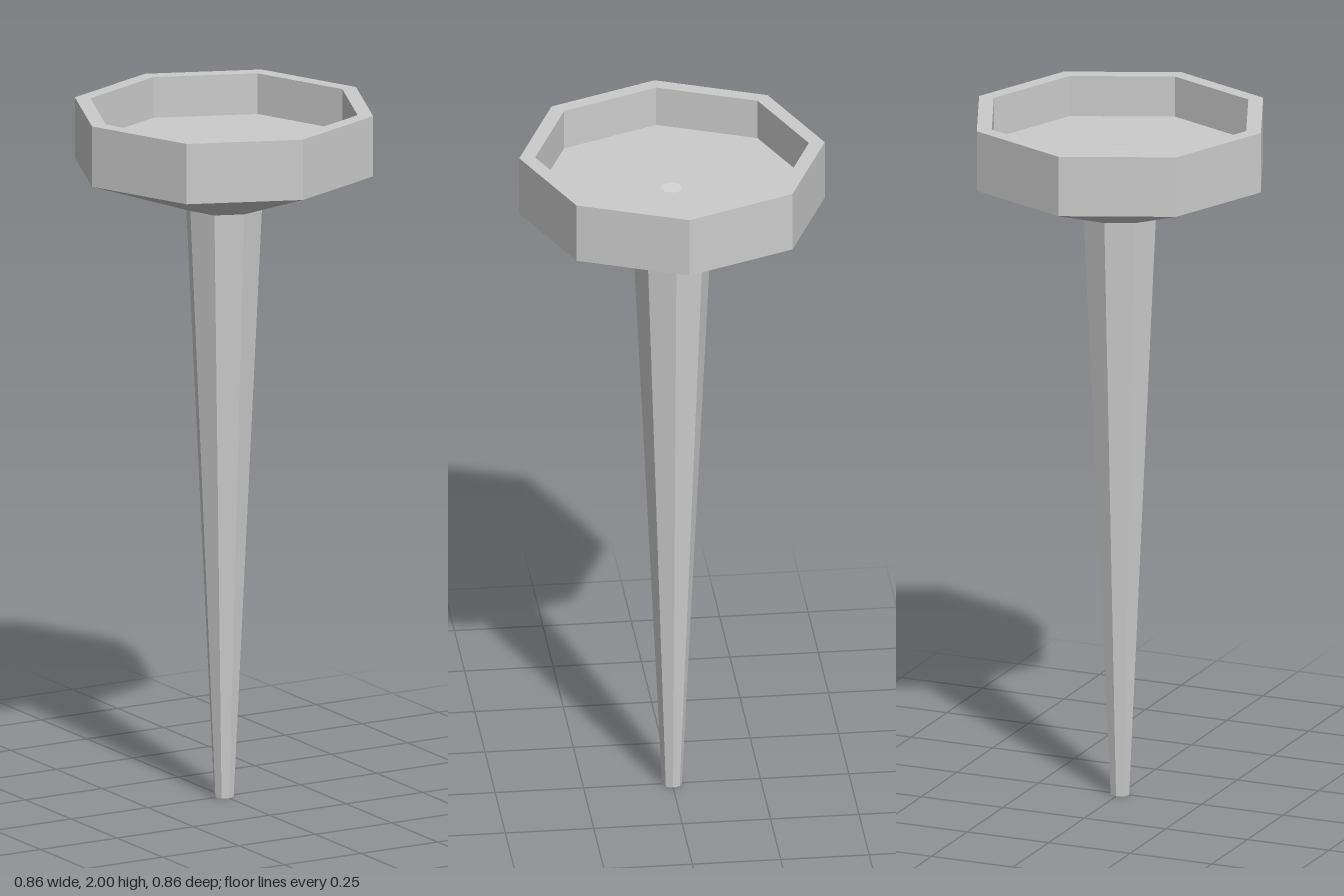
import * as THREE from 'three';

const SIDES = 8;

// Faceted turned part from [radius, height] points, outer side first
function turned(name, profile, material) {
  const points = profile.map(([r, y]) => new THREE.Vector2(r, y));
  const mesh = new THREE.Mesh(new THREE.LatheGeometry(points, SIDES), material);
  mesh.name = name;
  return mesh;
}

export function createModel() {
  const material = new THREE.MeshStandardMaterial({
    color: 0xcccccc, flatShading: true, side: THREE.DoubleSide,
  });
  const group = new THREE.Group();
  group.name = 'stemmedBowl';

  // Hollow tapering stem, open at the tip
  group.add(turned('stem', [[0.028, 0], [0.11, 1.712]], material));

  // Bowl: sloped underside, outer wall, rim, inner wall, floor with a small drain hole
  group.add(turned('bowl', [
    [0.11, 1.712], [0.432, 1.825], [0.432, 2],
    [0.387, 2], [0.387, 1.882], [0.032, 1.882],
  ], material));

  return group;
}
